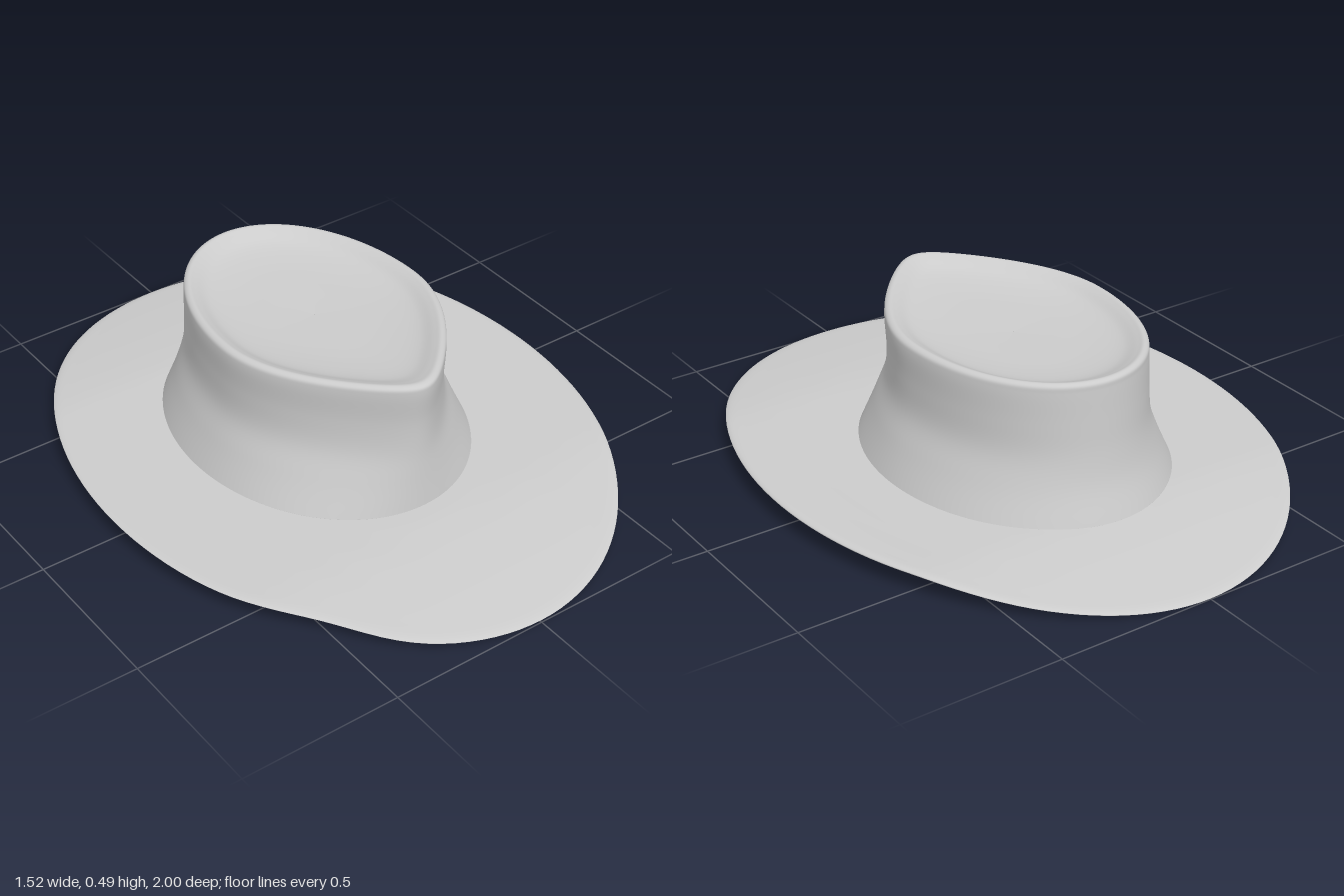
import * as THREE from 'three';

const COLUMNS = 128;
const material = new THREE.MeshStandardMaterial({ color: 0xcccccc, side: THREE.DoubleSide });

// Skins a closed surface: each column is a smooth curve through profile(angle).
// Angle 0 is the front, a quarter turn is +x.
function loft(name, profile, rows) {
  const positions = [], index = [];
  for (let j = 0; j < COLUMNS; j++) {
    const curve = new THREE.CatmullRomCurve3(profile((j / COLUMNS) * Math.PI * 2));
    for (let i = 0; i <= rows; i++) positions.push(...curve.getPoint(i / rows).toArray());
  }
  const at = (i, j) => (j % COLUMNS) * (rows + 1) + i;
  for (let j = 0; j < COLUMNS; j++) {
    for (let i = 0; i < rows; i++) {
      index.push(at(i, j), at(i + 1, j), at(i + 1, j + 1));
      index.push(at(i, j), at(i + 1, j + 1), at(i, j + 1));
    }
  }
  const geometry = new THREE.BufferGeometry();
  geometry.setAttribute('position', new THREE.Float32BufferAttribute(positions, 3));
  geometry.setIndex(index);
  geometry.computeVertexNormals();
  const mesh = new THREE.Mesh(geometry, material);
  mesh.name = name;
  return mesh;
}

// Crown rings from the middle of the dished top down to the base:
// [y, half width, front z, back z, how far the front narrows to a point]
const crownRings = [
  [0.436, 0.001, -0.069, -0.071, 0],
  [0.438, 0.1, 0.09, -0.21, 0.2],
  [0.442, 0.2, 0.24, -0.36, 0.35],
  [0.455, 0.275, 0.36, -0.46, 0.42],
  [0.475, 0.312, 0.42, -0.51, 0.45],
  [0.482, 0.33, 0.445, -0.53, 0.45],
  [0.475, 0.344, 0.461, -0.543, 0.45],
  [0.455, 0.348, 0.463, -0.545, 0.45],
  [0.36, 0.346, 0.452, -0.55, 0.42],
  [0.26, 0.352, 0.452, -0.557, 0.35],
  [0.17, 0.386, 0.459, -0.572, 0.2],
  [0.062, 0.432, 0.47, -0.608, 0],
];

function crownProfile(a) {
  const c = Math.cos(a), s = Math.sin(a);
  return crownRings.map(([y, hx, front, back, point]) => {
    const narrow = 1 - point * Math.max(0, c) ** 2;
    const lift = THREE.MathUtils.smoothstep(y, 0.3, 0.48) * (0.005 * c + 0.008 * c * c);
    return new THREE.Vector3(
      hx * s * narrow,
      y + lift * Math.min(1, hx / 0.3),
      (front + back) / 2 + ((front - back) / 2) * c,
    );
  });
}

// Height of the brim's upper face: level at the sides, drooping at front and back
function brimHeight(x, z) {
  const droop = Math.max(0, (Math.abs(z) - 0.52) / 0.48) ** 1.4;
  const tilt = 0.011 * THREE.MathUtils.smoothstep(x, 0.42, 0.76)
    - 0.004 * THREE.MathUtils.smoothstep(-x, 0.42, 0.76);
  return 0.068 + tilt - droop * (z > 0 ? 0.052 : 0.058);
}

// Brim section: [0 at the opening .. 1 at the edge, depth below the upper face]
const brimSection = [
  [0, 0], [0.12, 0], [0.35, 0], [0.6, 0], [0.85, 0], [0.97, 0.1], [1, 0.5],
  [0.97, 0.9], [0.85, 1], [0.6, 1], [0.35, 1], [0.12, 1], [0.01, 1], [-0.03, 0.7], [0, 0],
];

function brimProfile(a) {
  const c = Math.cos(a), s = Math.sin(a);
  // Slight flat on the front right edge
  const dent = 1 - 0.035 * Math.exp(-(((a - 5.5) / 0.22) ** 2));
  const outer = [0.76 * s * dent, c * dent];
  const inner = [0.43 * s, -0.069 + 0.539 * c];
  return brimSection.map(([t, depth]) => {
    const x = THREE.MathUtils.lerp(inner[0], outer[0], t);
    const z = THREE.MathUtils.lerp(inner[1], outer[1], t);
    const thickness = 0.01 + 0.008 * THREE.MathUtils.smoothstep(x, 0.4, 0.76);
    return new THREE.Vector3(x, brimHeight(x, z) - depth * thickness, z);
  });
}

export function createModel() {
  const hat = new THREE.Group();
  hat.name = 'hat';
  hat.add(loft('crown', crownProfile, 66), loft('brim', brimProfile, 70));
  return hat;
}
